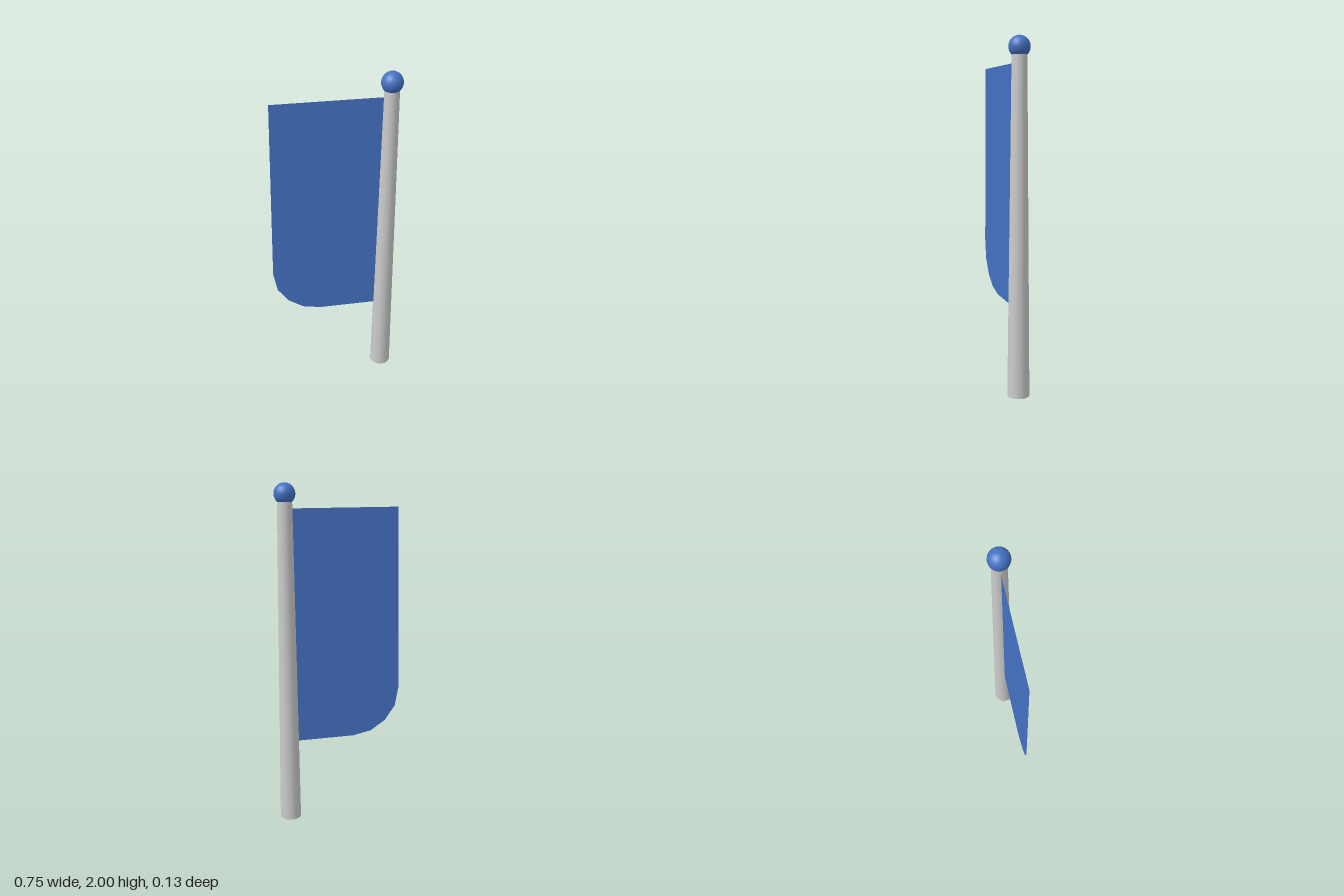
import * as THREE from 'three';

const POLE_X = 0.308;

export function createModel() {
  const group = new THREE.Group();
  const grey = new THREE.MeshStandardMaterial({ color: 0xcccccc });
  const blue = new THREE.MeshStandardMaterial({ color: 0x4472c4 });
  const cloth = new THREE.MeshStandardMaterial({ color: 0x4472c4, side: THREE.DoubleSide });

  const add = (name, geometry, material, x = 0, y = 0) => {
    const mesh = new THREE.Mesh(geometry, material);
    mesh.name = name;
    mesh.position.set(x, y, 0);
    group.add(mesh);
  };

  // Tapered pole standing on the ground
  add('pole', new THREE.CylinderGeometry(0.042, 0.063, 1.91, 20), grey, POLE_X, 0.955);

  // Ball on top of the pole
  add('finial', new THREE.SphereGeometry(0.06, 24, 16), blue, POLE_X, 1.94);

  // Thin cloth banner with a rounded outer lower corner, its edge tucked into the pole
  const outline = [
    [0.28, 1.86], [-0.35, 1.86], [-0.375, 0.78], [-0.353, 0.66],
    [-0.29, 0.57], [-0.2, 0.51], [-0.09, 0.488], [0.28, 0.488],
  ].map(([x, y]) => new THREE.Vector2(x, y));
  add('banner', new THREE.ShapeGeometry(new THREE.Shape(outline)), cloth);

  return group;
}
